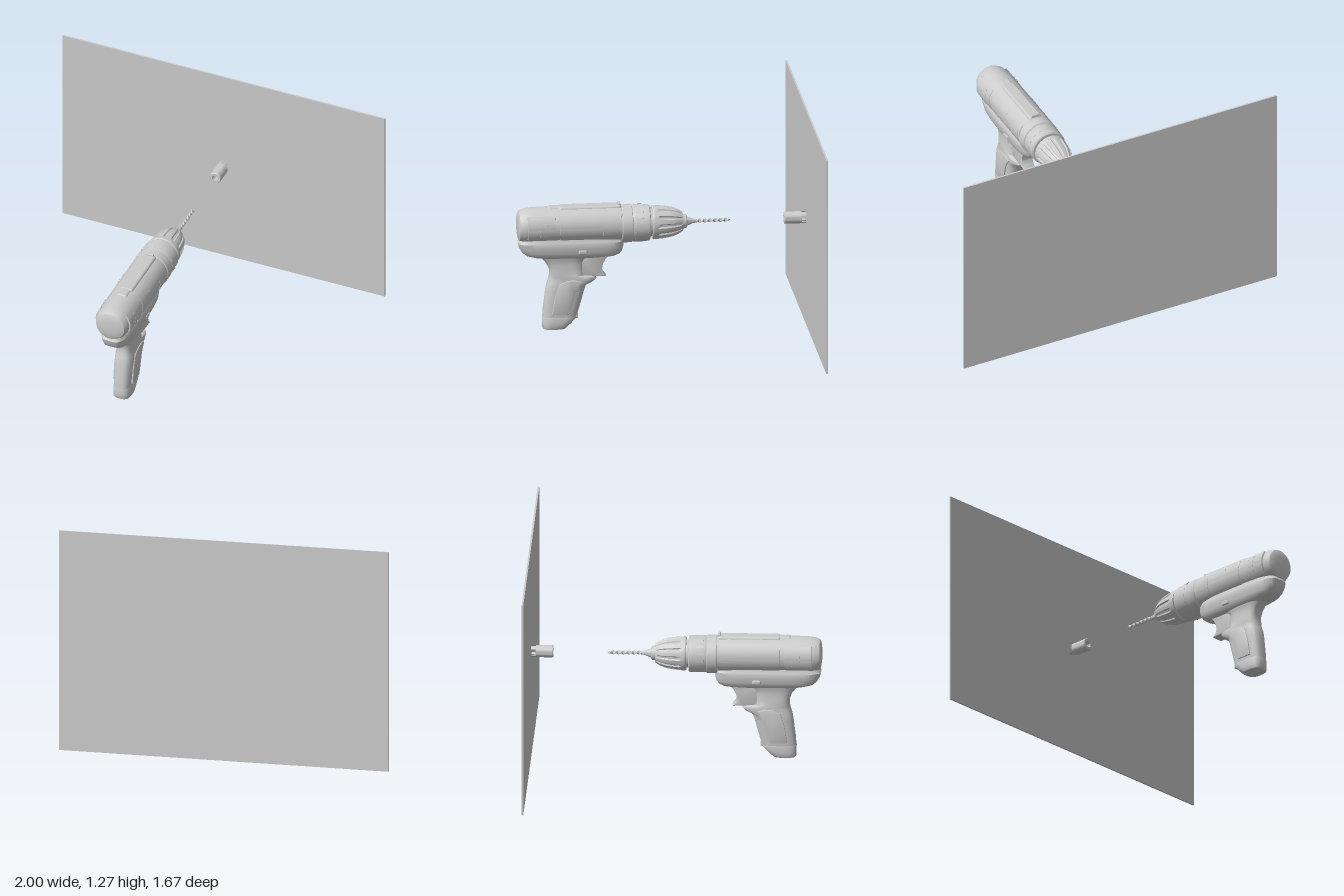
import * as THREE from 'three';
import { toCreasedNormals, mergeVertices } from 'three/addons/utils/BufferGeometryUtils.js';
import { RoundedBoxGeometry } from 'three/addons/geometries/RoundedBoxGeometry.js';

const AXIS = 0.638; // height of chuck, bit and plug

export function createModel() {
  const model = new THREE.Group();
  const mat = new THREE.MeshStandardMaterial({ color: 0xcccccc, side: THREE.DoubleSide });
  const drill = new THREE.Group();
  drill.name = 'drill';
  model.add(drill);

  const add = (name, geo, parent = drill) => {
    const mesh = new THREE.Mesh(geo, mat);
    mesh.name = name;
    parent.add(mesh);
    return mesh;
  };

  // Turned part along z; points are [radius, z] with z rising; angle 0 is straight down
  const turned = (points, y = AXIS, segs = 48, start = 0, sweep = Math.PI * 2) => {
    const g = new THREE.LatheGeometry(points.map(p => new THREE.Vector2(...p)), segs, start, sweep);
    g.rotateX(Math.PI / 2);
    return toCreasedNormals(g, 0.6).translate(0, y, 0);
  };

  // Thin curved plate wrapped around the motor housing
  const plate = (r, z0, z1, a0, a1) =>
    turned([[r - 0.012, z0], [r, z0 + 0.004], [r, z1 - 0.004], [r - 0.012, z1]], 0.645, 12, a0, a1 - a0);

  // Stack of rounded sections, from bottom to top: [y, zBack, zFront, halfWidth]
  const loft = (levels, power = 3, n = 40) => {
    const pos = [], idx = [];
    const round = v => Math.sign(v) * Math.abs(v) ** (2 / power);
    const [lo, hi] = [levels[0], levels.at(-1)];
    const point = l => [l[0], (l[1] + l[2]) / 2, (l[1] + l[2]) / 2, 0];
    const rings = [point(lo), ...levels, point(hi)];
    for (const [y, back, front, w] of rings) {
      for (let i = 0; i < n; i++) {
        const a = i / n * Math.PI * 2;
        pos.push(w * round(Math.sin(a)), y, (back + front) / 2 + (back - front) / 2 * round(Math.cos(a)));
      }
    }
    for (let j = 0; j < rings.length - 1; j++) {
      for (let i = 0; i < n; i++) {
        const a = j * n + i, b = j * n + (i + 1) % n;
        idx.push(a, b, a + n, b + n, a + n, b);
      }
    }
    const g = new THREE.BufferGeometry();
    g.setAttribute('position', new THREE.Float32BufferAttribute(pos, 3));
    g.setIndex(idx);
    g.computeVertexNormals();
    return toCreasedNormals(g, 0.7);
  };

  // Side outline of [z, y] points, extruded across x
  const slab = (points, halfWidth, bevel) => {
    const shape = new THREE.Shape();
    shape.setFromPoints(new THREE.SplineCurve(points.map(p => new THREE.Vector2(...p))).points);
    const depth = 2 * (halfWidth - bevel);
    const g = new THREE.ExtrudeGeometry(shape, {
      depth, bevelThickness: bevel, bevelSize: bevel, bevelOffset: -bevel, bevelSegments: 2,
    });
    g.translate(0, 0, -depth / 2).rotateY(-Math.PI / 2);
    return toCreasedNormals(g, 0.6);
  };

  const block = (name, w, h, d, x, y, z) =>
    add(name, new RoundedBoxGeometry(w, h, d, 2, Math.min(w, h, d) * 0.3)).position.set(x, y, z);

  // Motor housing with rounded rear
  add('motorHousing', turned([
    [0, 0.235], [0.098, 0.235], [0.103, 0.24], [0.105, 0.3], [0.105, 0.68], [0.102, 0.77],
    [0.097, 0.805], [0.087, 0.825], [0.07, 0.833], [0.04, 0.837], [0, 0.838],
  ], 0.645));
  block('topRidge', 0.08, 0.05, 0.36, 0, 0.731, 0.42);
  block('topRearPad', 0.06, 0.04, 0.08, 0, 0.734, 0.62);
  block('topFrontLip', 0.05, 0.03, 0.015, 0, 0.75, 0.25);

  // Side plates and vents, mirrored
  for (const s of [1, -1]) {
    const angle = y => s * (Math.PI / 2 + Math.asin((y - 0.645) / 0.105));
    const span = (y0, y1) => [angle(y0), angle(y1)].sort((a, b) => a - b);
    add('rearSidePlate', plate(0.1085, 0.62, 0.785, ...span(0.58, 0.715)));
    add('sideWindow', plate(0.109, 0.26, 0.355, ...span(0.595, 0.675)));
    add('sideTab', plate(0.109, 0.41, 0.49, ...span(0.683, 0.698)));
    add('sideRail', plate(0.107, 0.24, 0.6, ...span(0.565, 0.715)));
    for (let i = 0; i < 4; i++) {
      const y = 0.602 + i * 0.028;
      add('vent', plate(0.112, 0.665, 0.718, ...span(y, y + 0.01)));
    }
  }

  // Clutch collar
  add('collar', turned([
    [0, 0.075], [0.098, 0.075], [0.105, 0.08], [0.106, 0.17], [0.104, 0.173], [0.104, 0.177],
    [0.11, 0.18], [0.11, 0.235], [0.105, 0.241], [0, 0.241],
  ]));
  for (let i = 0; i < 16; i++) {
    const a = i / 16 * Math.PI * 2;
    add('collarGrip', turned([[0.1, 0.115], [0.1085, 0.118], [0.1085, 0.162], [0.1, 0.165]],
      AXIS, 3, a, 0.14));
  }
  add('spindle', turned([[0.08, 0.05], [0.08, 0.08]]));

  // Chuck with tapering flutes
  const chuck = new THREE.LatheGeometry([
    [0, -0.14], [0.034, -0.14], [0.04, -0.135], [0.042, -0.118], [0.055, -0.116], [0.066, -0.1], [0.076, -0.08],
    [0.085, -0.055], [0.09, -0.03], [0.094, 0], [0.096, 0.02], [0.097, 0.035], [0.098, 0.055], [0.094, 0.062], [0, 0.062],
  ].map(p => new THREE.Vector2(...p)), 96);
  const cp = chuck.attributes.position;
  for (let i = 0; i < cp.count; i++) {
    const x = cp.getX(i), y = cp.getY(i), z = cp.getZ(i);
    const groove = Math.cos(12 * Math.atan2(x, z)) > 0.45 && y > -0.11 && y < 0.03;
    if (groove) cp.setXYZ(i, x * 0.92, y, z * 0.92);
  }
  chuck.rotateX(Math.PI / 2).translate(0, AXIS, 0);
  add('chuck', toCreasedNormals(chuck, 0.5));
  add('chuckNose', turned([[0, -0.2], [0.009, -0.2], [0.014, -0.175], [0.028, -0.139], [0, -0.138]], AXIS, 24));

  // Twisted drill bit with pointed end
  const bit = new THREE.CylinderGeometry(0.012, 0.012, 0.21, 14, 90);
  const bp = bit.attributes.position;
  for (let i = 0; i < bp.count; i++) {
    const y = bp.getY(i), taper = Math.min(1, (y + 0.105) / 0.014);
    const x = bp.getX(i) * taper, z = bp.getZ(i) * 0.5 * taper;
    const a = y * 105, c = Math.cos(a), s = Math.sin(a);
    bp.setXYZ(i, x * c - z * s, y, x * s + z * c);
  }
  bit.rotateX(Math.PI / 2).translate(0, AXIS, -0.287);
  add('drillBit', toCreasedNormals(bit, 0.8));

  // Lower housing under the motor
  add('lowerHousing', loft([
    [0.452, 0.7, 0.34, 0.05], [0.458, 0.74, 0.27, 0.06], [0.47, 0.785, 0.246, 0.07],
    [0.49, 0.81, 0.232, 0.077], [0.515, 0.825, 0.226, 0.08], [0.545, 0.833, 0.226, 0.083],
    [0.55, 0.828, 0.232, 0.08], [0.6, 0.81, 0.25, 0.07],
  ], 4, 56));
  block('directionSwitch', 0.168, 0.025, 0.05, 0, 0.495, 0.465);

  // Grip, with a lip under the trigger
  add('grip', loft([
    [0.1, 0.69, 0.495, 0.054], [0.14, 0.688, 0.482, 0.056], [0.2, 0.68, 0.465, 0.058],
    [0.25, 0.674, 0.452, 0.059], [0.285, 0.668, 0.44, 0.059], [0.305, 0.662, 0.4, 0.058],
    [0.322, 0.657, 0.38, 0.057], [0.335, 0.655, 0.385, 0.056], [0.345, 0.652, 0.45, 0.055],
    [0.38, 0.652, 0.455, 0.051], [0.415, 0.668, 0.452, 0.049], [0.44, 0.688, 0.44, 0.05],
    [0.465, 0.715, 0.4, 0.058], [0.5, 0.75, 0.35, 0.065],
  ]));
  add('gripPanel', slab([
    [0.64, 0.12], [0.545, 0.12], [0.53, 0.16], [0.505, 0.25], [0.47, 0.31], [0.51, 0.325],
    [0.55, 0.32], [0.6, 0.3], [0.625, 0.22],
  ], 0.062, 0.004));
  add('gripBase', loft([
    [0.03, 0.687, 0.56, 0.05], [0.034, 0.69, 0.553, 0.053], [0.06, 0.691, 0.525, 0.054],
    [0.094, 0.692, 0.494, 0.056], [0.102, 0.69, 0.493, 0.054],
  ]));
  block('baseLatch', 0.06, 0.04, 0.02, 0, 0.11, 0.497);

  // Trigger
  add('trigger', slab([
    [0.47, 0.465], [0.305, 0.465], [0.328, 0.44], [0.345, 0.41], [0.35, 0.38], [0.342, 0.355],
    [0.325, 0.335], [0.38, 0.337], [0.47, 0.345],
  ], 0.036, 0.006));

  // Wall plug: hollow sleeve with four prongs at the wall
  const plug = new THREE.Group();
  plug.name = 'wallPlug';
  model.add(plug);
  add('plugSleeve', turned([
    [0.018, -0.7], [0.018, -0.8], [0.035, -0.8], [0.035, -0.704], [0.032, -0.7], [0.018, -0.7],
  ].reverse(), AXIS, 32), plug);
  for (const start of [0.32, Math.PI - 0.89, Math.PI + 0.32, Math.PI * 2 - 0.89]) {
    add('plugProng', turned([[0.022, -0.827], [0.034, -0.827], [0.035, -0.798], [0.022, -0.798], [0.022, -0.827]],
      AXIS, 6, start, 0.57), plug);
  }

  // Wall panel
  add('wallPanel', new THREE.BoxGeometry(2, 1.275, 0.01), model).position.set(0, 0.6375, -0.831);

  return model;
}
